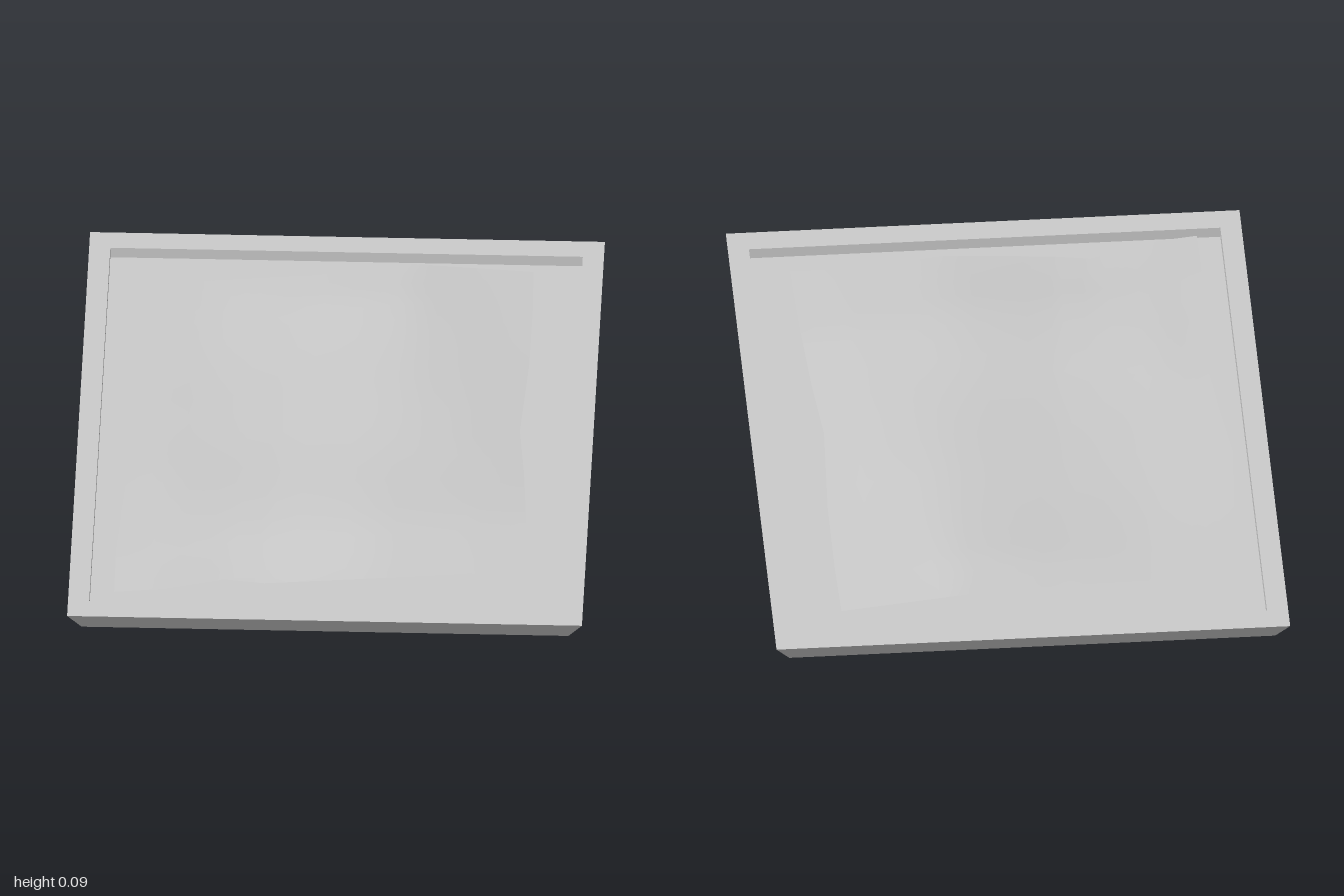
import * as THREE from 'three';

// Flat-sided rectangular shell from rings of [halfWidth, y, halfLength]
function rectLoft(rings) {
  const corners = rings.map(([a, y, b]) => [[-a, y, b], [a, y, b], [a, y, -b], [-a, y, -b]]);
  const pos = [];
  const quad = (a, b, c, d) => pos.push(...a, ...b, ...c, ...a, ...c, ...d);
  for (let r = 0; r < rings.length - 1; r++) {
    for (let k = 0; k < 4; k++) {
      const n = (k + 1) % 4;
      quad(corners[r][k], corners[r][n], corners[r + 1][n], corners[r + 1][k]);
    }
  }
  const first = corners[0], last = corners[corners.length - 1];
  quad(first[3], first[2], first[1], first[0]); // underside
  quad(...last); // recess floor
  const geo = new THREE.BufferGeometry();
  geo.setAttribute('position', new THREE.Float32BufferAttribute(pos, 3));
  geo.computeVertexNormals();
  return geo;
}

// Point on a polyline of [x, y, z] points, t from 0 to 1
function along(pts, t) {
  const f = t * (pts.length - 1);
  const i = Math.min(Math.floor(f), pts.length - 2);
  return new THREE.Vector3(...pts[i]).lerp(new THREE.Vector3(...pts[i + 1]), f - i);
}

// Irregular edges of the crumpled sheet
const back = [[-0.76, 0.056, -0.27], [-0.57, 0.057, -0.37], [-0.385, 0.066, -0.495], [-0.19, 0.08, -0.65], [0.05, 0.057, -0.8]];
const front = [[-0.08, 0.06, 0.86], [0.01, 0.06, 0.79], [0.11, 0.057, 0.675], [0.2, 0.058, 0.64], [0.42, 0.076, 0.51], [0.6, 0.074, 0.37], [0.72, 0.07, 0.31]];
const left = [[-0.76, 0.056, -0.27], [-0.65, 0.057, -0.12], [-0.52, 0.058, 0.145], [-0.41, 0.061, 0.29], [-0.315, 0.064, 0.425], [-0.165, 0.068, 0.715], [-0.08, 0.06, 0.86]];
const right = [[0.05, 0.057, -0.8], [0.135, 0.058, -0.66], [0.25, 0.06, -0.46], [0.38, 0.064, -0.21], [0.485, 0.068, -0.06], [0.59, 0.075, 0.1], [0.72, 0.07, 0.31]];

// Soft bumps of the sheet: x, z, height, radius
const bumps = [[-0.23, -0.5, 0.008, 0.2], [0.15, 0.28, 0.008, 0.2], [-0.1, 0.45, 0.006, 0.18], [0.1, -0.2, 0.006, 0.25], [-0.4, -0.1, -0.003, 0.15]];

// Sheet blended between its four edges
function sheetGeometry(n) {
  const geo = new THREE.PlaneGeometry(1, 1, n, n).rotateX(-Math.PI / 2);
  const p = geo.attributes.position;
  for (let i = 0; i < p.count; i++) {
    const t = THREE.MathUtils.clamp(p.getX(i) + 0.5, 0, 1);
    const s = THREE.MathUtils.clamp(p.getZ(i) + 0.5, 0, 1);
    const v = along(back, t).lerp(along(front, t), s);
    v.add(along(left, s).lerp(along(right, s), t));
    const b = along(back, 0).lerp(along(back, 1), t);
    const f = along(front, 0).lerp(along(front, 1), t);
    v.sub(b.lerp(f, s));
    const fade = Math.min(1, 40 * s * (1 - s) * t * (1 - t));
    for (const [x, z, h, r] of bumps) {
      v.y += fade * h * Math.exp(-((v.x - x) ** 2 + (v.z - z) ** 2) / (r * r));
    }
    p.setXYZ(i, v.x, v.y, v.z);
  }
  geo.computeVertexNormals();
  return geo;
}

export function createModel() {
  const model = new THREE.Group();
  model.name = 'trayWithSheet';

  // Tray with sloping outer walls, flat rim and shallow recess
  const tray = new THREE.Mesh(
    rectLoft([
      [0.574, 0, 0.765],
      [0.607, 0.055, 0.802],
      [0.557, 0.055, 0.738],
      [0.557, 0.028, 0.738],
    ]),
    new THREE.MeshStandardMaterial({ color: 0xcccccc, flatShading: true })
  );
  tray.name = 'tray';
  tray.rotation.y = Math.PI / 6;
  model.add(tray);

  // Thin rumpled sheet lying over the recess
  const sheet = new THREE.Mesh(
    sheetGeometry(24),
    new THREE.MeshStandardMaterial({ color: 0xcccccc, side: THREE.DoubleSide })
  );
  sheet.name = 'sheet';
  model.add(sheet);

  return model;
}
